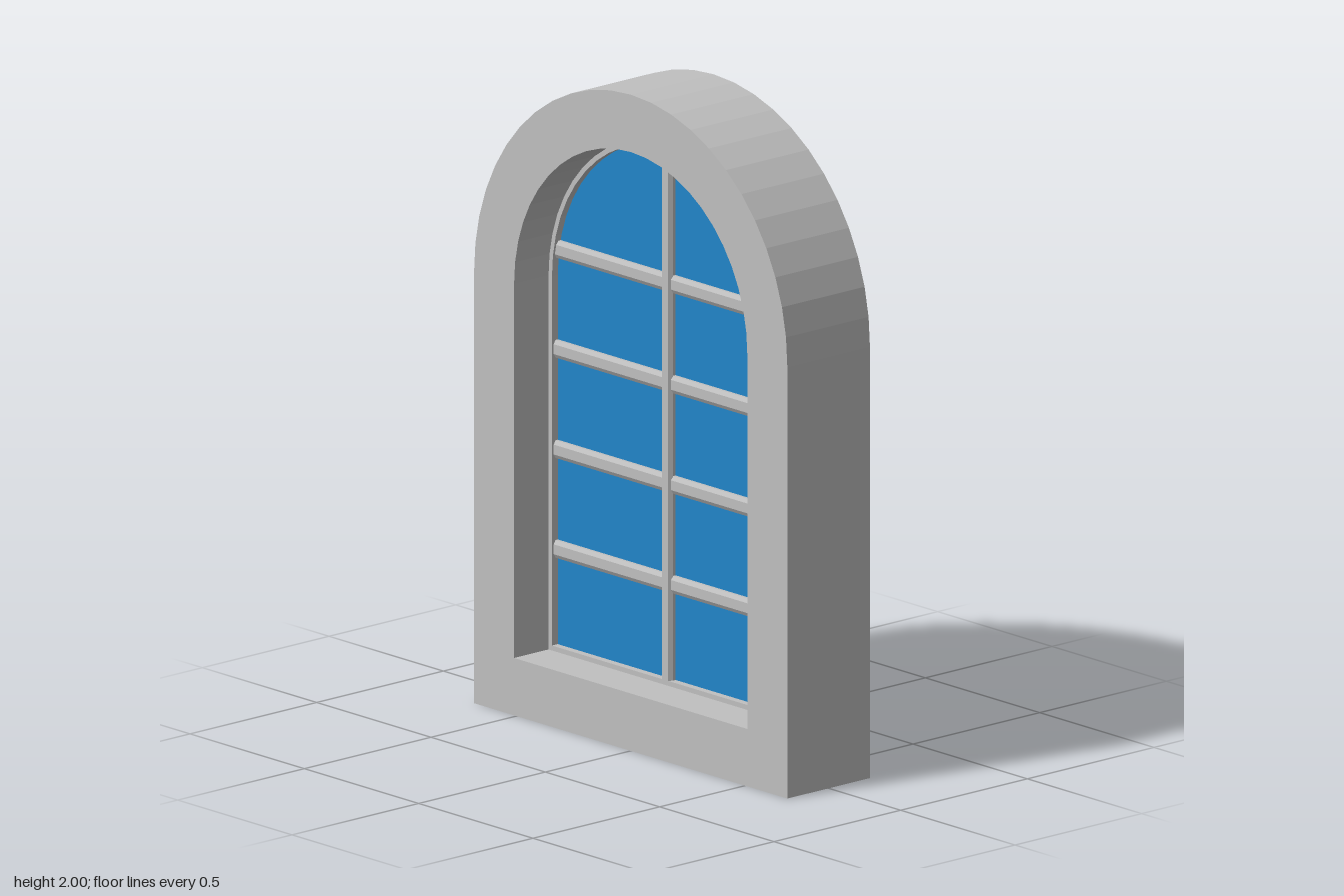
import * as THREE from 'three';

const SPRING = 1.315; // height where the arch begins
const DEPTH = 0.326;

// Round-headed outline: straight sides topped by a semicircle
function arch(PathType, halfWidth, bottom) {
  const p = new PathType();
  p.moveTo(-halfWidth, bottom);
  p.lineTo(halfWidth, bottom);
  p.lineTo(halfWidth, SPRING);
  p.absarc(0, SPRING, halfWidth, 0, Math.PI, false);
  p.closePath();
  return p;
}

// Extrude a shape along z, centred on z = 0
function extrude(shape, depth) {
  const g = new THREE.ExtrudeGeometry(shape, { depth, bevelEnabled: false, curveSegments: 12 });
  return g.translate(0, 0, -depth / 2);
}

// Arched ring between two outlines
function ring(outerHalf, outerBottom, innerHalf, innerBottom, depth) {
  const shape = arch(THREE.Shape, outerHalf, outerBottom);
  shape.holes.push(arch(THREE.Path, innerHalf, innerBottom));
  return extrude(shape, depth);
}

// Glazing bar along z with chamfered edges (section x = width, y = thickness)
function bar(length) {
  const section = [
    [-0.013, -0.027], [0.013, -0.027], [0.02, -0.015], [0.02, 0.015],
    [0.013, 0.027], [-0.013, 0.027], [-0.02, 0.015], [-0.02, -0.015],
  ].map(([x, y]) => new THREE.Vector2(x, y));
  return extrude(new THREE.Shape(section), length);
}

export function createModel() {
  const model = new THREE.Group();
  model.name = 'archedWindow';

  const stone = new THREE.MeshStandardMaterial({ color: 0xc0c0c0 });
  stone.name = 'grey';
  const blue = new THREE.MeshStandardMaterial({ color: 0x2185c9 });
  blue.name = 'glassBlue';

  const add = (name, geometry, material) => {
    const mesh = new THREE.Mesh(geometry, material);
    mesh.name = name;
    model.add(mesh);
    return mesh;
  };

  // Thick surround and the slim sash inside it
  add('surround', ring(0.685, 0, 0.51, 0.175, DEPTH), stone);
  add('sash', ring(0.511, 0.174, 0.495, 0.19, 0.054), stone);

  // Single arched pane in the middle of the depth
  add('glass', extrude(arch(THREE.Shape, 0.5, 0.185), 0.008), blue);

  // Vertical glazing bar
  const height = 1.818 - 0.182;
  add('verticalBar', bar(height).rotateX(Math.PI / 2).translate(0, 0.182 + height / 2, 0), stone);

  // Horizontal glazing bars
  [0.482, 0.786, 1.092, 1.397].forEach((y, i) => {
    const g = bar(0.996).rotateZ(Math.PI / 2).rotateY(Math.PI / 2);
    // turn the section so its thin faces look along z
    g.rotateX(Math.PI / 2);
    add('horizontalBar' + (i + 1), g.translate(0, y, 0), stone);
  });

  return model;
}
